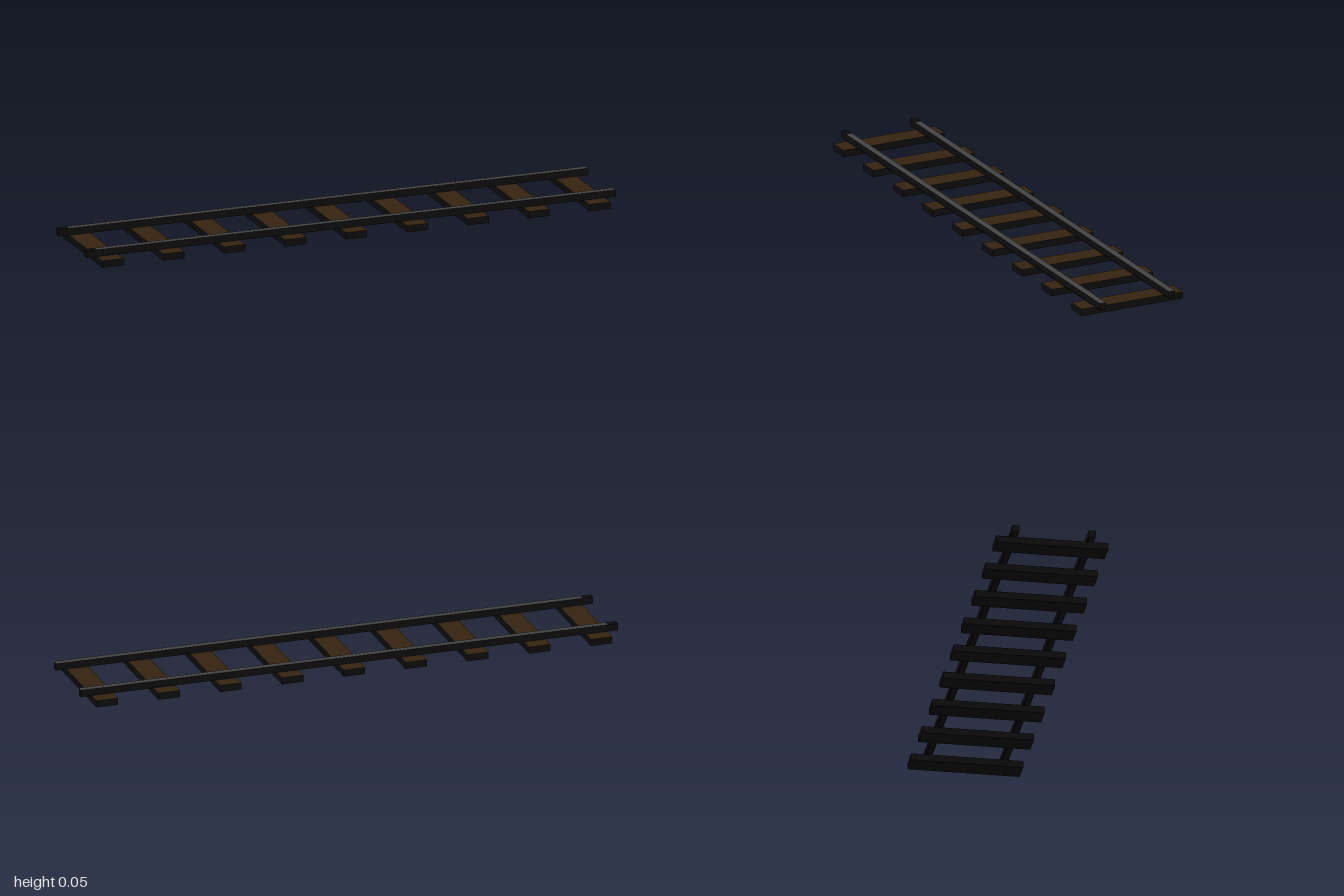
import * as THREE from 'three';

export function createModel() {
  const track = new THREE.Group();
  track.name = 'railwayTrack';

  const wood = new THREE.MeshStandardMaterial({ color: 0x35230f });
  wood.name = 'dark wood';
  const steel = new THREE.MeshStandardMaterial({ color: 0x444444 });
  steel.name = 'worn steel';
  const black = new THREE.MeshStandardMaterial({ color: 0x0d0d0d });
  black.name = 'soot black';

  // Box whose top face has its own colour; y is the underside
  function block(name, parent, size, x, y, z, top) {
    const mesh = new THREE.Mesh(
      new THREE.BoxGeometry(...size),
      [black, black, top, black, black, black]
    );
    mesh.name = name;
    mesh.position.set(x, y + size[1] / 2, z);
    parent.add(mesh);
  }

  // Nine evenly spaced sleepers
  const sleepers = new THREE.Group();
  sleepers.name = 'sleepers';
  for (let i = -4; i <= 4; i++) {
    block('sleeper', sleepers, [0.08, 0.025, 0.4], i * 0.23, 0, 0, wood);
  }
  track.add(sleepers);

  // Two rails: a wide head on a narrower foot, with a black left-hand tip
  for (const side of [-1, 1]) {
    const rail = new THREE.Group();
    rail.name = side > 0 ? 'frontRail' : 'backRail';
    const z = side * 0.136;
    block('railHead', rail, [1.96, 0.023, 0.025], 0.02, 0.028, z, steel);
    block('railTip', rail, [0.04, 0.023, 0.025], -0.98, 0.028, z, black);
    block('railFoot', rail, [2, 0.004, 0.02], 0, 0.0245, z, black);
    track.add(rail);
  }

  return track;
}
